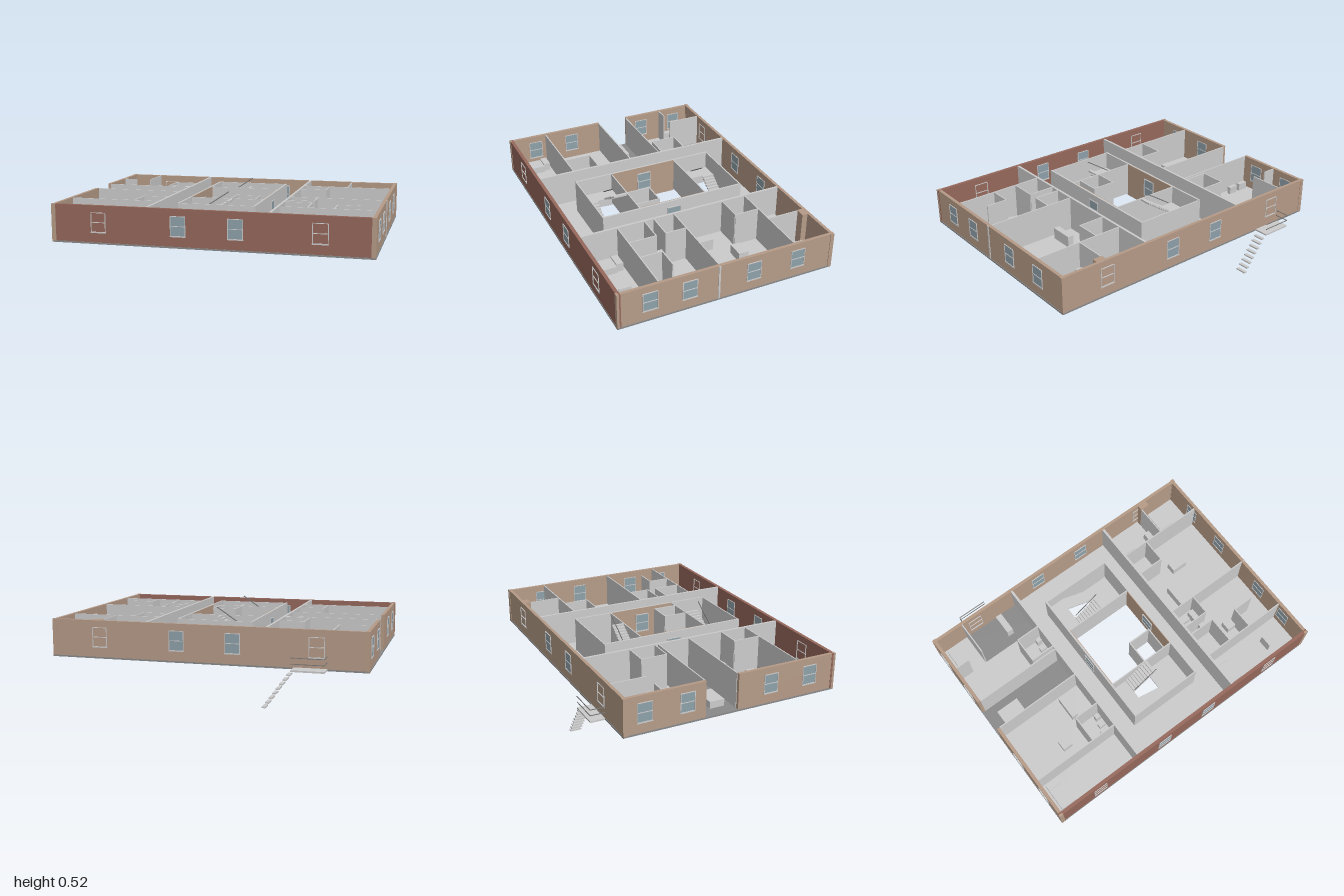
import * as THREE from 'three';

const mat = (color) => new THREE.MeshStandardMaterial({ color });
const GREY = mat(0xcccccc), TAN = mat(0xb69b87), RED = mat(0x96685c);
const SLAB = mat(0x8a8a8a), GLASS = mat(0x8fa1aa), RAIL = mat(0x777777);
const FLOOR = 0.238, TOP = 0.465;

// Box given by its limits on each axis
function box(parent, name, x0, x1, y0, y1, z0, z1, material = GREY) {
  const m = new THREE.Mesh(new THREE.BoxGeometry(x1 - x0, y1 - y0, z1 - z0), material);
  m.position.set((x0 + x1) / 2, (y0 + y1) / 2, (z0 + z1) / 2);
  m.name = name;
  parent.add(m);
  return m;
}

// Sash window on a wall; depth runs through the wall, blind ones have no glass
function makeWindow(parent, x, z, angle, depth, blind = false) {
  const g = new THREE.Group();
  g.name = blind ? 'blindWindow' : 'sashWindow';
  const w = 0.046, h = 0.06, t = 0.004, d = depth / 2;
  if (!blind) box(g, 'glass', -w, w, -h, h, -d, d, GLASS);
  const f = d + 0.003;
  for (const s of [-1, 1]) {
    box(g, 'jamb', s * w - t / 2, s * w + t / 2, -h, h, -f, f);
    box(g, 'rail', -w, w, s * h - t / 2, s * h + t / 2, -f, f);
  }
  box(g, 'meetingRail', -w, w, -t / 2, t / 2, -f, f);
  box(g, 'sill', -w - 0.004, w + 0.004, -h - 0.006, -h, -f, f);
  g.position.set(x, 0.36, z);
  g.rotation.y = angle;
  parent.add(g);
}

function makeBase(parent) {
  // Slab with an opening for the court and the two stairwells
  const s = new THREE.Shape([[-1, -0.76], [1, -0.76], [1, 0.665], [-1, 0.665]].map(p => new THREE.Vector2(...p)));
  s.holes.push(new THREE.Path([[-0.24, -0.53], [-0.24, 0.45], [0.235, 0.45], [0.235, -0.53]].map(p => new THREE.Vector2(...p))));
  const slab = new THREE.Mesh(new THREE.ExtrudeGeometry(s, { depth: 0.01, bevelEnabled: false }), SLAB);
  slab.rotation.x = -Math.PI / 2;
  slab.position.y = 0.225;
  slab.name = 'slab';
  parent.add(slab);
  // Light floor finishes: x0, x1, z0, z1
  for (const [x0, x1, z0, z1] of [
    [-0.98, -0.78, -0.645, -0.415], [-0.98, -0.385, -0.415, -0.14], [-0.98, -0.385, 0.077, 0.735],
    [-0.385, -0.24, -0.645, 0.735], [0.235, 0.98, -0.645, 0.735],
    [-0.24, 0.235, -0.645, -0.44], [-0.24, 0.235, 0.53, 0.735],
  ]) box(parent, 'floor', x0, x1, 0.234, FLOOR, z0, z1);
}

function makeShell(parent) {
  box(parent, 'frontWall', -0.998, 0.998, 0.232, TOP, 0.735, 0.757, RED);
  box(parent, 'backWall', -0.998, 0.998, 0.232, TOP, -0.662, -0.642, TAN);
  box(parent, 'rightSideWall', -0.996, -0.975, 0.232, TOP, -0.642, -0.14, TAN);
  box(parent, 'rightSideWall', -0.996, -0.975, 0.232, TOP, 0.077, 0.735, TAN);
  box(parent, 'leftSideWall', 0.975, 0.996, 0.232, TOP, -0.642, 0.735, TAN);
  box(parent, 'downpipe', 0.99, 1, 0.232, TOP, 0.11, 0.122, GREY);
  box(parent, 'chimneyBreast', 0.675, 0.74, FLOOR, TOP, -0.642, -0.605, TAN);
  // Corner strips
  for (const s of [-1, 1]) {
    const a = s > 0 ? 0.973 : -1;
    box(parent, 'cornerStrip', a, a + 0.027, 0.228, TOP + 0.001, 0.745, 0.76, TAN);
    box(parent, 'cornerStrip', a, a + 0.027, 0.228, TOP + 0.001, -0.665, -0.64, TAN);
  }
  for (const [x, blind] of [[-0.69, true], [-0.18, false], [0.175, false], [0.68, true]]) {
    makeWindow(parent, x, 0.746, 0, 0.025, blind);
    makeWindow(parent, x, -0.652, 0, 0.023, blind);
  }
  for (const z of [-0.415, -0.115, 0.305, 0.555]) makeWindow(parent, 0.986, z, Math.PI / 2, 0.023);
  for (const z of [-0.53, -0.26, 0.3, 0.575]) makeWindow(parent, -0.986, z, Math.PI / 2, 0.023);
}

function makePartitions(parent) {
  const t = 0.004;
  // Walls along x: z, x0, x1
  for (const [z, x0, x1] of [
    [-0.415, -0.975, -0.885], [-0.14, -0.975, -0.385], [0.077, -0.975, -0.385], [0.495, -0.975, -0.385],
    [-0.335, -0.55, -0.385], [-0.165, -0.55, -0.385], [0.315, -0.555, -0.385],
    [-0.395, 0.375, 0.975], [0.112, 0.375, 0.975], [0.495, 0.375, 0.975],
    [-0.23, 0.375, 0.555], [0.25, 0.375, 0.555], [0.315, 0.375, 0.555], [0.35, 0.72, 0.86],
    [-0.44, -0.25, 0.243], [-0.185, -0.245, 0.24], [0.278, -0.245, 0.24], [0.53, -0.25, 0.243],
    [0.12, 0.02, 0.18],
  ]) box(parent, 'partition', x0, x1, FLOOR, TOP - 0.002, z - t, z + t);
  // Walls along z: x, z0, z1
  for (const [x, z0, z1] of [
    [-0.78, -0.642, -0.415], [-0.55, -0.335, -0.165], [-0.555, 0.315, 0.495],
    [0.68, -0.642, -0.395], [0.555, -0.395, -0.23], [0.555, 0.112, 0.25], [0.555, 0.315, 0.495],
    [0.72, 0.35, 0.495], [0.022, 0.12, 0.278], [0.178, 0.12, 0.278],
  ]) box(parent, 'partition', x - t, x + t, FLOOR, TOP - 0.002, z0, z1);
  // Corridor walls
  for (const x of [-0.384, 0.376]) box(parent, 'corridorWall', x - 0.008, x + 0.008, FLOOR, TOP, -0.642, 0.735);
  // Core walls, faced in tan on the court side
  for (const s of [-1, 1]) {
    const x = -0.004 + s * 0.241;
    box(parent, 'coreWall', x - 0.006, x + 0.006, 0.226, TOP, -0.444, 0.534);
    const f = x - s * 0.008;
    box(parent, 'courtFacing', f - 0.002, f + 0.002, 0.226, TOP, -0.181, 0.274, TAN);
    makeWindow(parent, x - s * 0.003, 0.045, Math.PI / 2, 0.022);
  }
}

// Half-turn stair: lower flight climbs toward -x, upper flight back toward +x
function makeStair(parent, name, z0, z1, lower, upper, railZ) {
  const g = new THREE.Group();
  g.name = name;
  const n = 9, x0 = -0.135, x1 = 0.035, run = (x1 - x0) / n, mid = 0.35, rise = (mid - FLOOR) / n;
  box(g, 'entryLanding', x1, 0.235, 0.226, FLOOR, z0, z1);
  box(g, 'halfLanding', -0.235, x0, mid - 0.01, mid, z0, z1);
  for (let i = 0; i < n; i++) {
    const a = x1 - (i + 1) * run, y = FLOOR + (i + 1) * rise;
    box(g, 'lowerTread', a, a + run, y - rise, y, ...lower);
    const b = x0 + i * run, v = mid + (i + 1) * rise;
    box(g, 'upperTread', b, b + run, v - rise, v, ...upper);
  }
  const len = Math.hypot(x1 - x0, 0.112);
  const rail = new THREE.Mesh(new THREE.BoxGeometry(len, 0.006, 0.004), RAIL);
  rail.position.set((x0 + x1) / 2, 0.466, railZ);
  rail.rotation.z = Math.atan2(0.112, x1 - x0);
  rail.name = 'handrail';
  g.add(rail);
  parent.add(g);
}

function makeFurniture(parent) {
  // name, x0, x1, z0, z1, height
  for (const [name, x0, x1, z0, z1, h] of [
    ['bed', -0.95, -0.87, -0.615, -0.47, 0.045], ['desk', -0.95, -0.91, -0.53, -0.43, 0.06],
    ['bed', 0.415, 0.52, -0.615, -0.47, 0.045], ['bed', 0.75, 0.85, -0.615, -0.47, 0.045],
    ['dresser', 0.63, 0.672, -0.51, -0.42, 0.07], ['dresser', 0.69, 0.735, -0.51, -0.42, 0.07],
    ['bed', -0.95, -0.845, 0.56, 0.7, 0.045], ['pillow', -0.95, -0.86, 0.515, 0.56, 0.055],
    ['bed', 0.415, 0.52, 0.56, 0.7, 0.045], ['pillow', 0.415, 0.51, 0.515, 0.56, 0.055],
    ['bed', -0.92, -0.765, -0.07, 0.028, 0.045],
    ['bench', -0.95, -0.88, -0.195, -0.168, 0.05], ['bench', -0.855, -0.79, -0.195, -0.168, 0.05],
    ['table', -0.72, -0.655, 0.335, 0.4, 0.06], ['table', 0.625, 0.735, -0.23, -0.165, 0.06],
    ['table', 0.648, 0.71, 0.335, 0.4, 0.06],
    ['counter', -0.555, -0.512, -0.615, -0.475, 0.075], ['counter', -0.552, -0.51, 0.108, 0.262, 0.075],
    ['counter', 0.505, 0.545, -0.085, 0.07, 0.075], ['counter', 0.505, 0.545, 0.14, 0.3, 0.075],
    ['bathtub', 0.405, 0.495, 0.14, 0.178, 0.05], ['screen', 0.784, 0.788, 0.58, 0.66, 0.09],
  ]) box(parent, name, x0, x1, FLOOR, FLOOR + h, z0, z1);
  // Bathroom fixtures: room x, z, direction
  for (const [x, z, s] of [[-0.4, -0.255, -1], [-0.4, 0.405, -1], [0.392, -0.315, 1], [0.392, 0.405, 1]]) {
    for (const [name, d, w, dz, h] of [['basin', 0.035, 0.03, -0.055, 0.07], ['toilet', 0.045, 0.028, 0, 0.045], ['bathtub', 0.06, 0.04, 0.055, 0.05]]) {
      const e = x + s * d;
      box(parent, name, Math.min(x, e), Math.max(x, e), FLOOR, FLOOR + h, z + dz - w / 2, z + dz + w / 2);
    }
  }
}

function makeFireEscape(parent) {
  box(parent, 'platform', -0.755, -0.555, 0.228, 0.238, -0.76, -0.668);
  for (const y of [0.274, 0.31]) {
    box(parent, 'guardRail', -0.755, -0.555, y - 0.002, y + 0.002, -0.76, -0.756, RAIL);
    box(parent, 'guardRail', -0.755, -0.751, y - 0.002, y + 0.002, -0.76, -0.665, RAIL);
  }
  // Open treads down to the ground
  for (let i = 0; i < 8; i++) {
    const x = -0.395 - i * 0.0207, y = 0.0286 * i;
    box(parent, 'tread', x - 0.011, x + 0.011, y, y + 0.009, -0.75, -0.68);
  }
}

export function createModel() {
  const model = new THREE.Group();
  model.name = 'apartmentFloor';
  const add = (name, build) => {
    const g = new THREE.Group();
    g.name = name;
    build(g);
    model.add(g);
  };
  add('base', makeBase);
  add('shell', makeShell);
  add('partitions', makePartitions);
  add('furniture', makeFurniture);
  add('fireEscape', makeFireEscape);
  makeStair(model, 'backStair', -0.436, -0.189, [-0.436, -0.355], [-0.27, -0.189], -0.265);
  makeStair(model, 'frontStair', 0.282, 0.526, [0.425, 0.526], [0.282, 0.375], 0.38);
  return model;
}
